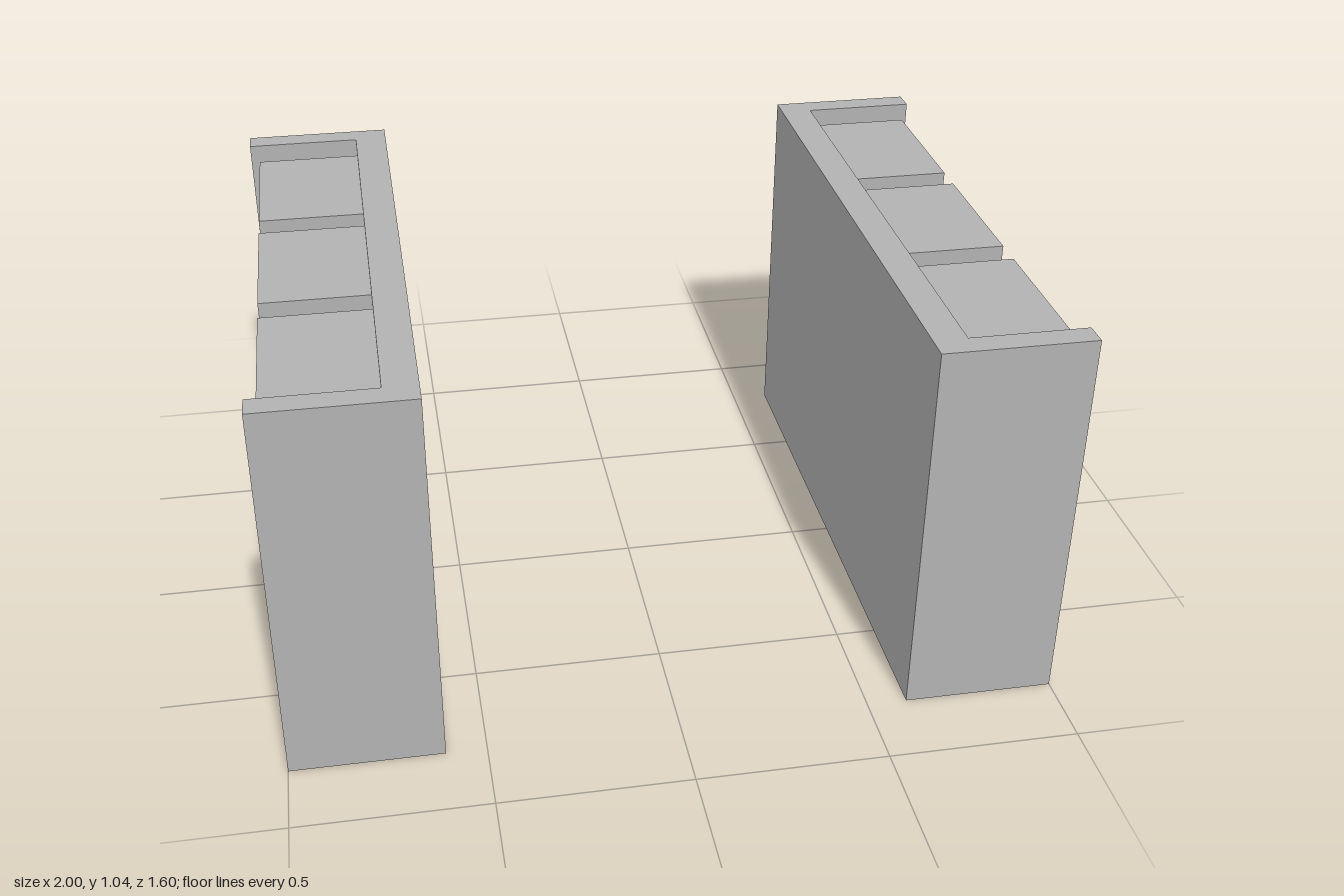
import * as THREE from 'three';

const HEIGHT = 1.045;

export function createModel() {
  const model = new THREE.Group();
  const grey = new THREE.MeshStandardMaterial({ color: 0xb2b2b2 });
  grey.name = 'grey';

  // C-shaped plan, open towards +x, drawn with shape y = -z
  const plan = new THREE.Shape([
    [0.605, -0.8], [1, -0.8], [1, -0.735], [0.692, -0.735],
    [0.692, 0.735], [1, 0.735], [1, 0.8], [0.605, 0.8],
  ].map(([x, y]) => new THREE.Vector2(x, y)));
  const channelGeometry = new THREE.ExtrudeGeometry(plan, { depth: HEIGHT, bevelEnabled: false });
  channelGeometry.rotateX(-Math.PI / 2);

  const blockGeometry = new THREE.BoxGeometry(0.285, 0.28, 0.413);

  // One wall unit: channel with a 3 x 3 grid of blocks on its outer side
  function makeUnit(name) {
    const unit = new THREE.Group();
    unit.name = name;
    const channel = new THREE.Mesh(channelGeometry, grey);
    channel.name = 'channelWall';
    unit.add(channel);
    for (let row = 0; row < 3; row++) {
      for (let column = 0; column < 3; column++) {
        const block = new THREE.Mesh(blockGeometry, grey);
        block.name = `block${row + 1}${column + 1}`;
        block.position.set(0.8325, HEIGHT / 2 + (row - 1) * 0.348, (column - 1) * 0.49);
        unit.add(block);
      }
    }
    return unit;
  }

  // The unit is symmetric in z, so a half turn gives its mirror image
  const left = makeUnit('leftUnit');
  const right = makeUnit('rightUnit');
  right.rotation.y = Math.PI;
  model.add(left, right);
  return model;
}
